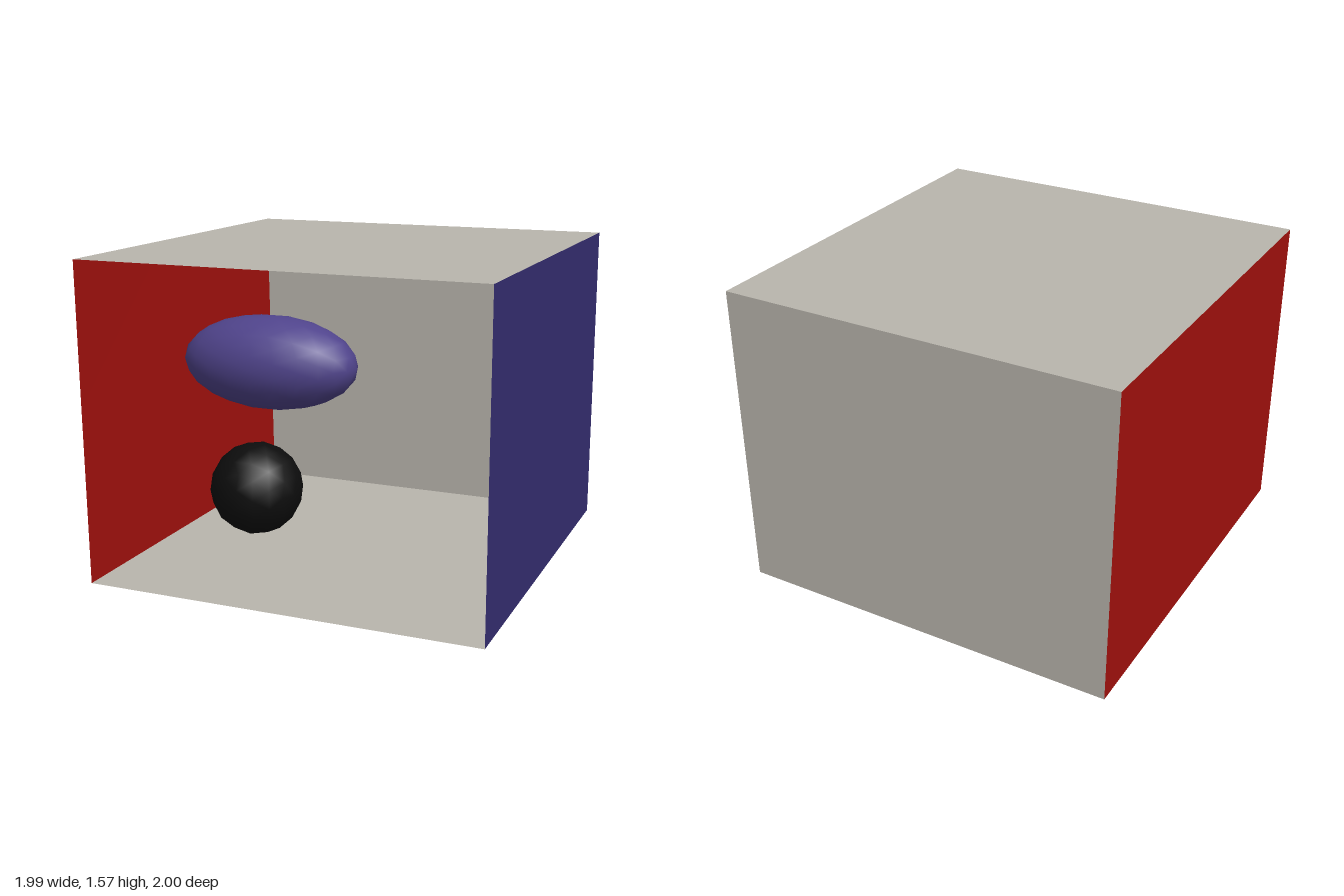
import * as THREE from 'three';

const paint = (color) => new THREE.MeshStandardMaterial({ color, side: THREE.DoubleSide });

// Flat panel from four corners, listed counter-clockwise as seen from inside the room
function panel(name, corners, material) {
  const geometry = new THREE.BufferGeometry();
  geometry.setAttribute('position', new THREE.Float32BufferAttribute(corners.flat(), 3));
  geometry.setIndex([0, 1, 2, 0, 2, 3]);
  geometry.computeVertexNormals();
  const mesh = new THREE.Mesh(geometry, material);
  mesh.name = name;
  return mesh;
}

// Faceted-outline, smooth-shaded ball
function ball(name, detail, radii, position, color) {
  const mesh = new THREE.Mesh(
    new THREE.IcosahedronGeometry(1, detail),
    new THREE.MeshStandardMaterial({ color })
  );
  mesh.name = name;
  mesh.scale.set(...radii);
  mesh.position.set(...position);
  return mesh;
}

export function createModel() {
  const room = new THREE.Group();
  room.name = 'openRoom';

  const w = 0.994, h = 1.57;
  const plaster = paint(0xb9b5ad);

  // The red wall leans slightly inward at its foot, more so at the back
  const floorFrontLeft = [-0.983, 0, 1], floorBackLeft = [-0.972, 0, -1];
  const floorFrontRight = [w, 0, 1], floorBackRight = [w, 0, -1];
  const topFrontLeft = [-w, h, 1], topBackLeft = [-w, h, -1];
  const topFrontRight = [w, h, 1], topBackRight = [w, h, -1];

  room.add(
    panel('floor', [floorFrontLeft, floorFrontRight, floorBackRight, floorBackLeft], plaster),
    panel('ceiling', [topFrontLeft, topBackLeft, topBackRight, topFrontRight], plaster),
    panel('backWall', [floorBackLeft, floorBackRight, topBackRight, topBackLeft], plaster),
    panel('redWall', [floorFrontLeft, floorBackLeft, topBackLeft, topFrontLeft], paint(0xa1110d)),
    panel('blueWall', [floorBackRight, floorFrontRight, topFrontRight, topBackRight], paint(0x352e70))
  );

  // Objects inside the room
  room.add(
    ball('blackSphere', 2, [0.248, 0.248, 0.248], [-0.57, 0.25, 0.035], 0x0d0d0d),
    ball('blueEllipsoid', 3, [0.485, 0.247, 0.247], [-0.477, 0.945, 0.04], 0x50448c)
  );

  return room;
}
